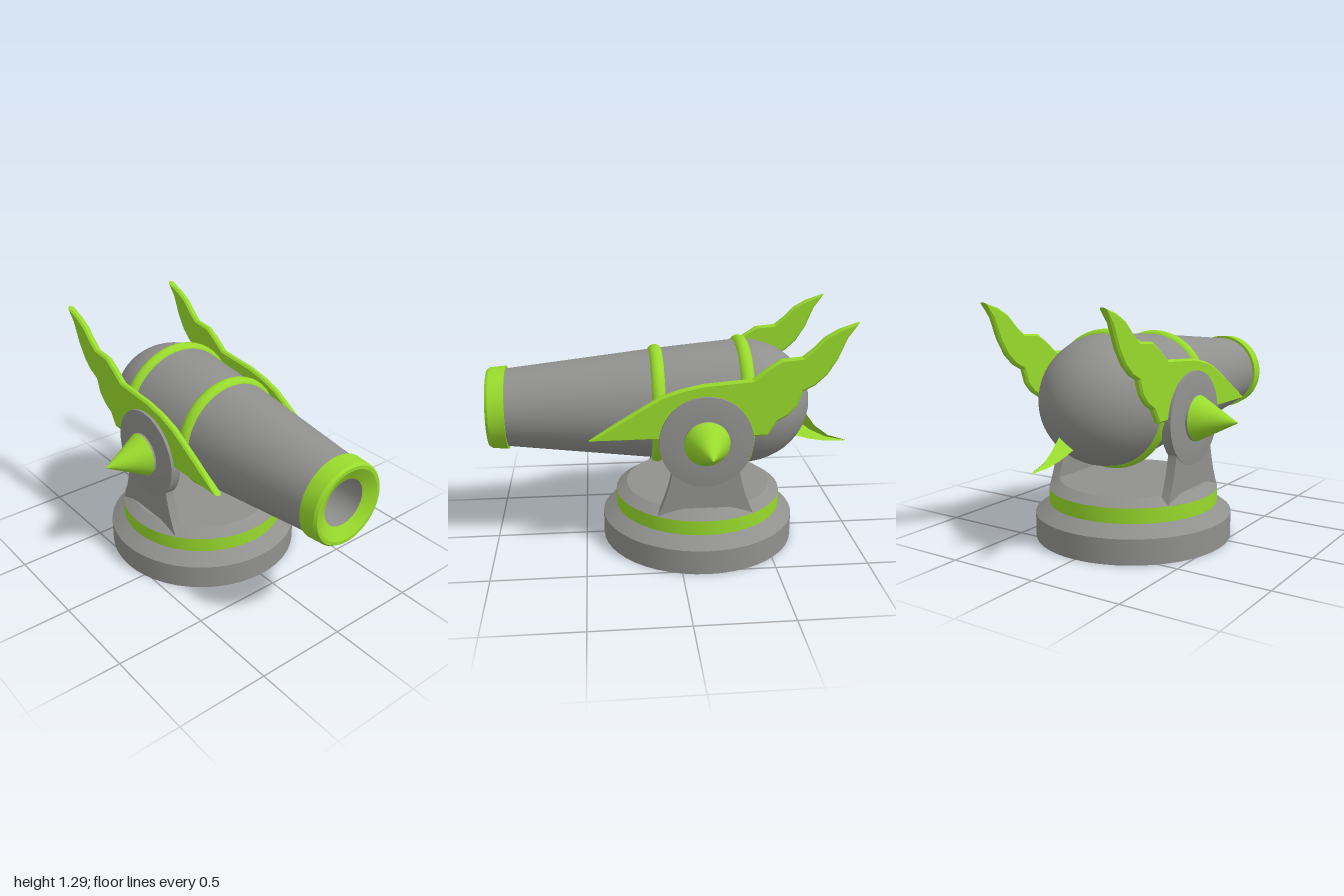
import * as THREE from 'three';
import { toCreasedNormals } from 'three/addons/utils/BufferGeometryUtils.js';

const grey = new THREE.MeshStandardMaterial({ color: 0x90918e });
grey.name = 'iron grey';
const green = new THREE.MeshStandardMaterial({ color: 0x98da2c });
green.name = 'lime green';

const AXIS_Y = 0.775, PIVOT_Y = 0.68, PIVOT_Z = -0.135;

function add(parent, name, geometry, material, x = 0, y = 0, z = 0) {
  const mesh = new THREE.Mesh(geometry, material);
  mesh.name = name;
  mesh.position.set(x, y, z);
  parent.add(mesh);
  return mesh;
}

// Turned part from [radius, height] pairs
function turned(points, segments = 48) {
  const profile = points.map(([r, h]) => new THREE.Vector2(r, h));
  return toCreasedNormals(new THREE.LatheGeometry(profile, segments), 0.45);
}

// Flat plate: outline drawn in (z, y), thickness centred on x = 0
function plate(shape, thickness, bevel = 0) {
  const depth = thickness - 2 * bevel;
  const g = new THREE.ExtrudeGeometry(shape, {
    depth, curveSegments: 8, bevelEnabled: bevel > 0, bevelSegments: 1,
    bevelThickness: bevel, bevelSize: bevel, bevelOffset: -bevel,
  });
  g.translate(0, 0, -depth / 2);
  g.rotateY(-Math.PI / 2);
  return toCreasedNormals(g, 0.35);
}

function outline(points) {
  return new THREE.Shape(points.map(([z, y]) => new THREE.Vector2(z, y)));
}

// Curved tail spike lofted from diamond sections: [topZ, topY, bottomZ, bottomY, halfWidth]
function spikeGeometry() {
  const sections = [
    [-0.68, 0.75, -0.60, 0.585, 0.06],
    [-0.735, 0.70, -0.67, 0.562, 0.057],
    [-0.80, 0.61, -0.77, 0.532, 0.043],
    [-0.88, 0.55, -0.865, 0.516, 0.022],
    [-0.99, 0.515, -0.99, 0.514, 0.001],
  ];
  const position = [], index = [];
  for (const [tz, ty, bz, by, w] of sections) {
    const mz = (tz + bz) / 2, my = (ty + by) / 2;
    position.push(0, ty, tz, w, my, mz, 0, by, bz, -w, my, mz);
  }
  for (let i = 0; i < sections.length - 1; i++) {
    for (let j = 0; j < 4; j++) {
      const a = i * 4 + j, b = i * 4 + (j + 1) % 4;
      index.push(a, a + 4, b, b, a + 4, b + 4);
    }
  }
  const g = new THREE.BufferGeometry();
  g.setAttribute('position', new THREE.Float32BufferAttribute(position, 3));
  g.setIndex(index);
  return toCreasedNormals(g, 0.5);
}

export function createModel() {
  const model = new THREE.Group();
  model.name = 'cannon';

  // Round stepped base
  const base = new THREE.Group();
  base.name = 'base';
  base.position.z = PIVOT_Z;
  model.add(base);
  add(base, 'baseFoot', turned([[0, 0], [0.535, 0], [0.535, 0.135], [0.46, 0.19]]), grey);
  add(base, 'baseBand', turned([[0.46, 0.19], [0.46, 0.27]]), green);
  add(base, 'baseTop', turned([[0.46, 0.27], [0.4, 0.31], [0, 0.31]]), grey);

  // Barrel, turned along z
  const barrel = new THREE.Group();
  barrel.name = 'barrel';
  barrel.position.y = AXIS_Y;
  barrel.rotation.x = Math.PI / 2;
  model.add(barrel);
  const body = [];
  for (let i = 0; i <= 12; i++) {
    const a = (i / 12) * Math.PI / 2;
    body.push([0.343 * Math.sin(a), -0.365 - 0.38 * Math.cos(a)]);
  }
  body.push([0.3, 0.1], [0.21, 0.9]);
  add(barrel, 'barrelBody', turned(body), grey);
  add(barrel, 'muzzleRing', turned([
    [0.2, 0.9], [0.225, 0.9], [0.218, 0.985], [0.208, 1], [0.19, 1], [0.125, 0.965],
  ]), green);
  add(barrel, 'bore', turned([[0.125, 0.965], [0.125, 0.5], [0, 0.5]]), grey);

  // Rounded reinforcing bands
  for (const [name, z, r] of [['frontBand', 0.1, 0.322], ['rearBand', -0.36, 0.364]]) {
    const band = [];
    for (let i = 0; i <= 8; i++) {
      const a = (i / 8 - 0.5) * Math.PI;
      band.push([r - 0.035 + 0.035 * Math.cos(a), z + 0.038 * Math.sin(a)]);
    }
    band.unshift([r - 0.06, z - 0.038]);
    band.push([r - 0.06, z + 0.038]);
    add(barrel, name, turned(band), green);
  }

  add(model, 'tailSpike', spikeGeometry(), green);

  // Support leg with curved flanks
  const leg = new THREE.Shape();
  leg.moveTo(0.12, 0.27);
  leg.quadraticCurveTo(0.065, 0.38, 0.04, 0.52);
  leg.lineTo(0.04, 0.68);
  leg.lineTo(-0.31, 0.68);
  leg.lineTo(-0.31, 0.52);
  leg.quadraticCurveTo(-0.335, 0.38, -0.39, 0.27);
  const legGeometry = plate(leg, 0.05);

  // Swept wing plate
  const wingGeometry = plate(outline([
    [0.465, 0.7], [0.35, 0.775], [0.22, 0.855], [0.1, 0.925], [0, 0.96], [-0.12, 0.985],
    [-0.37, 1.005], [-0.44, 1.06], [-0.51, 1.105], [-0.62, 1.115], [-0.67, 1.155],
    [-0.73, 1.215], [-0.8, 1.255], [-0.9, 1.287], [-0.845, 1.21], [-0.8, 1.1],
    [-0.75, 1.02], [-0.69, 0.965], [-0.63, 0.935], [-0.605, 0.86], [-0.56, 0.81],
    [-0.5, 0.775], [-0.455, 0.7],
  ]), 0.038, 0.01);

  for (const [side, s] of [['left', 1], ['right', -1]]) {
    add(model, side + 'Leg', legGeometry, grey, s * 0.355);
    add(model, side + 'Wing', wingGeometry, green, s * 0.35);

    // Pivot disc and spike, turned along x
    const pivot = new THREE.Group();
    pivot.name = side + 'Pivot';
    pivot.position.set(0, PIVOT_Y, PIVOT_Z);
    pivot.rotation.z = -s * Math.PI / 2;
    model.add(pivot);
    add(pivot, side + 'Disc', turned([
      [0, 0.33], [0.245, 0.33], [0.245, 0.385], [0.17, 0.395], [0.12, 0.395], [0.12, 0.406],
    ]), grey);
    add(pivot, side + 'PivotSpike', turned([[0, 0.405], [0.12, 0.405], [0, 0.635]], 32), green);
  }

  return model;
}
